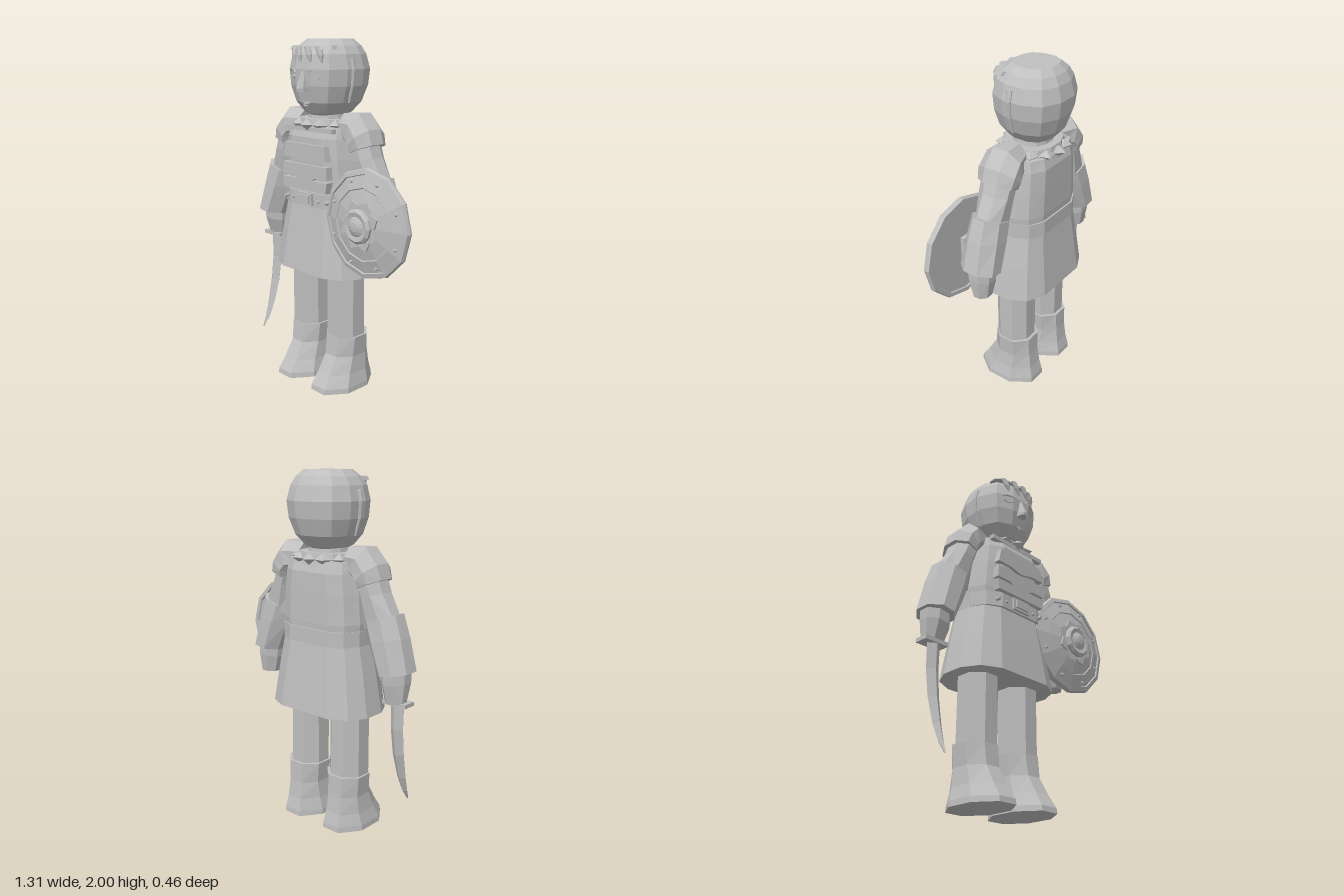
import * as THREE from 'three';

const CX = -0.0975; // body axis; the shield sits out to the figure's left
const ROUND = [[1, 0.3], [0.78, 0.78], [0.3, 1]];
const BROAD = [[1, 0.3], [0.84, 0.76], [0.52, 1]];
const OCT = [[1, 0.41], [0.41, 1]];

// Unit outline from one quarter, mirrored into all four
function outline(quarter) {
  const back = [...quarter].reverse();
  return [...quarter, ...back.map(([a, b]) => [-a, b]),
    ...quarter.map(([a, b]) => [-a, -b]), ...back.map(([a, b]) => [a, -b])];
}

// Horizontal section: height, half width, front z, back z, centre x
function section([y, hw, zf, zb, x = 0], quarter) {
  return outline(quarter).map(([a, b]) =>
    new THREE.Vector3(x + a * hw, y, (zf + zb) / 2 + b * (zf - zb) / 2));
}

// Slanted section of a limb between an outer and an inner point
function slanted([ox, oy, ix, iy, zf, zb]) {
  return outline(OCT).map(([a, b]) => new THREE.Vector3(
    (ox + ix) / 2 + a * (ix - ox) / 2, (oy + iy) / 2 + a * (iy - oy) / 2,
    (zf + zb) / 2 + b * (zf - zb) / 2));
}

// Faceted skin over a stack of sections, capped, always facing outwards
function loft(rings, mirror = 1) {
  const tris = [];
  const n = rings[0].length;
  const mid = (r) => r.reduce((s, p) => s.add(p), new THREE.Vector3()).divideScalar(n);
  const first = mid(rings[0]), last = mid(rings[rings.length - 1]);
  for (let i = 0; i < n; i++) {
    const j = (i + 1) % n;
    for (let k = 0; k < rings.length - 1; k++) {
      const a = rings[k], b = rings[k + 1];
      tris.push([a[i], b[i], a[j]], [a[j], b[i], b[j]]);
    }
    tris.push([first, rings[0][i], rings[0][j]]);
    const top = rings[rings.length - 1];
    tris.push([last, top[j], top[i]]);
  }
  const pts = tris.map((t) => t.map((p) => new THREE.Vector3(p.x * mirror, p.y, p.z)));
  const volume = pts.reduce((s, [a, b, c]) =>
    s + a.clone().sub(first).dot(b.clone().sub(first).cross(c.clone().sub(first))), 0);
  const origin = new THREE.Vector3(first.x * mirror, first.y, first.z);
  const signed = pts.reduce((s, [a, b, c]) => s + a.clone().sub(origin)
    .dot(b.clone().sub(origin).cross(c.clone().sub(origin))), 0);
  const flip = (Number.isFinite(volume) && signed < 0);
  const geo = new THREE.BufferGeometry().setFromPoints(
    pts.flatMap(([a, b, c]) => (flip ? [a, c, b] : [a, b, c])));
  geo.computeVertexNormals();
  return geo;
}

function faceted(geo) {
  const g = geo.index ? geo.toNonIndexed() : geo;
  g.computeVertexNormals();
  return g;
}

function plate(points, depth) {
  const shape = new THREE.Shape(points.map(([x, y]) => new THREE.Vector2(x, y)));
  return new THREE.ExtrudeGeometry(shape, { depth, bevelEnabled: false });
}

export function createModel() {
  const stone = new THREE.MeshStandardMaterial({ color: 0xbfbfbf });
  stone.name = 'grey stone';
  const model = new THREE.Group();
  model.name = 'warrior';
  const body = new THREE.Group();
  body.name = 'body';
  body.position.x = CX;
  model.add(body);

  const add = (name, geo, x = 0, y = 0, z = 0, parent = body) => {
    const mesh = new THREE.Mesh(geo, stone);
    mesh.name = name;
    mesh.position.set(x, y, z);
    parent.add(mesh);
    return mesh;
  };
  const stack = (name, rows, quarter) =>
    add(name, loft(rows.map((r) => section(r, quarter))));

  // Head, neck and clothing
  stack('head', [[1.575, 0.07, 0.06, -0.09], [1.6, 0.115, 0.11, -0.135], [1.66, 0.165, 0.152, -0.185],
    [1.75, 0.198, 0.173, -0.215], [1.84, 0.207, 0.178, -0.225], [1.92, 0.187, 0.163, -0.205],
    [1.965, 0.16, 0.13, -0.18], [2, 0.118, 0.09, -0.145]], ROUND);
  stack('neck', [[1.48, 0.12, 0.1, -0.13], [1.62, 0.1, 0.08, -0.11]], ROUND);
  stack('collar', [[1.5, 0.175, 0.145, -0.175], [1.57, 0.16, 0.13, -0.16]], ROUND);
  stack('tunic', [[1.05, 0.25, 0.14, -0.175], [1.2, 0.262, 0.155, -0.185], [1.36, 0.25, 0.16, -0.185],
    [1.47, 0.235, 0.158, -0.183], [1.53, 0.225, 0.138, -0.165]], BROAD);
  stack('belt', [[1.08, 0.262, 0.165, -0.192], [1.165, 0.262, 0.165, -0.192]], BROAD);
  stack('skirt', [[0.695, 0.33, 0.2, -0.228], [0.9, 0.297, 0.175, -0.205], [1.1, 0.258, 0.148, -0.183]], BROAD);

  // Collar beads
  for (let i = 0; i < 12; i++) {
    const a = (i * Math.PI) / 6;
    const bead = add('collarBead', new THREE.OctahedronGeometry(1),
      Math.sin(a) * 0.165, 1.54, -0.015 + Math.cos(a) * 0.165);
    bead.scale.set(0.047, 0.032, 0.045);
    bead.rotation.y = a;
  }

  // Chest plates, each with a pointed lower edge
  for (const [top, bottom, wt, wb, tip] of [
    [1.435, 1.35, 0.16, 0.18, 0.02], [1.32, 1.25, 0.18, 0.185, 0.045], [1.235, 1.175, 0.185, 0.175, 0]]) {
    add('chestPlate', plate([[-wb, bottom], [-0.09, bottom], [0, bottom - tip], [0.09, bottom],
      [wb, bottom], [wt, top], [-wt, top]], 0.05), 0, 0, 0.127);
  }
  add('neckTrim', new THREE.BoxGeometry(0.4, 0.025, 0.03), 0, 1.515, 0.136);
  add('buckle', new THREE.BoxGeometry(0.125, 0.07, 0.04), 0, 1.125, 0.16);
  add('bucklePlate', new THREE.BoxGeometry(0.095, 0.045, 0.012), 0, 1.125, 0.184);
  for (const x of [-0.165, -0.105, 0.105, 0.165]) {
    const stud = add('beltStud', faceted(new THREE.CylinderGeometry(0.009, 0.012, 0.03, 8)), x, 1.12, 0.16);
    stud.rotation.x = Math.PI / 2;
  }

  // Face
  add('nose', loft([[1.72, 0.026, 0.215, 0.15], [1.74, 0.025, 0.218, 0.15], [1.83, 0.01, 0.182, 0.15]]
    .map((r) => section(r, OCT))));
  add('upperLip', plate([[-0.028, 1.657], [0, 1.649], [0.028, 1.657], [0.012, 1.666], [-0.012, 1.666]], 0.009), 0, 0, 0.151);
  add('lowerLip', plate([[-0.022, 1.647], [0, 1.637], [0.022, 1.647], [0, 1.645]], 0.009), 0, 0, 0.147);
  for (const s of [-1, 1]) {
    const eye = add('eye', plate([[-0.03, 0], [-0.01, -0.011], [0.012, -0.01], [0.03, 0],
      [0.012, 0.011], [-0.01, 0.012]], 0.007), s * 0.09, 1.8, 0.164);
    const brow = add('brow', plate([[-0.04, 0], [-0.02, 0.01], [0.02, 0.01], [0.04, 0],
      [0.02, 0.018], [-0.02, 0.018]], 0.009), s * 0.09, 1.825, 0.165);
    eye.rotation.y = brow.rotation.y = s * 0.36;
    add('sideburn', loft([section([1.66, 0.006, 0.003, -0.012, s * 0.175], OCT),
      section([1.75, 0.012, 0.006, -0.016, s * 0.198], OCT),
      section([1.84, 0.012, 0.009, -0.02, s * 0.207], OCT),
      section([1.9, 0.012, 0.014, -0.02, s * 0.194], OCT)]));
  }

  // Fringe: a bent band with hanging locks
  stack('hairBand', [[1.945, 0.165, 0.168, 0.03], [1.965, 0.155, 0.156, 0.02]], ROUND);
  for (const x of [-0.1, -0.035, 0.04, 0.105]) {
    const lock = add('hairLock', loft([section([-0.075, 0.003, 0.006, -0.002, 0.018], OCT),
      section([-0.035, 0.016, 0.012, -0.012, 0.006], OCT),
      section([0.01, 0.02, 0.006, -0.02, -0.012], OCT)]), x, 1.95, 0.172 - Math.max(0, Math.abs(x) - 0.05) * 0.4);
    lock.rotation.y = x * 3;
  }

  // Legs, boots and arms, mirrored
  for (const s of [-1, 1]) {
    const side = s < 0 ? 'right' : 'left';
    const x = s * 0.15;
    stack(side + 'Leg', [[0.25, 0.106, 0.1, -0.115, x], [0.75, 0.104, 0.1, -0.115, x]], OCT);
    stack(side + 'Boot', [[0, 0.138, 0.222, -0.168, x], [0.03, 0.136, 0.218, -0.166, x],
      [0.1, 0.119, 0.172, -0.15, x], [0.2, 0.108, 0.116, -0.138, x], [0.32, 0.118, 0.102, -0.133, x]], OCT);

    const limb = (name, rows) => add(side + name, loft(rows.map(slanted), -s));
    // Arm rows: outer point, inner point, front z, back z, on the right side
    limb('ShoulderPad', [[-0.16, 1.605, -0.18, 1.44, 0.07, -0.09], [-0.285, 1.612, -0.23, 1.42, 0.1, -0.125],
      [-0.36, 1.527, -0.235, 1.41, 0.108, -0.13], [-0.385, 1.45, -0.24, 1.39, 0.1, -0.12]]);
    limb('UpperArm', [[-0.345, 1.5, -0.22, 1.43, 0.09, -0.105], [-0.39, 1.38, -0.25, 1.35, 0.088, -0.1],
      [-0.47, 1.24, -0.27, 1.18, 0.07, -0.09]]);
    limb('Forearm', [[-0.475, 1.28, -0.272, 1.215, 0.085, -0.1], [-0.515, 1.16, -0.305, 1.12, 0.095, -0.108],
      [-0.558, 0.98, -0.378, 0.95, 0.107, -0.113]]);
    limb('Hand', [[-0.54, 1, -0.385, 0.98, 0.07, -0.085], [-0.54, 0.92, -0.39, 0.9, 0.065, -0.083],
      [-0.527, 0.805, -0.415, 0.805, 0.03, -0.065]]);
  }

  // Curved sword in the right hand
  const sword = new THREE.Group();
  sword.name = 'sword';
  sword.position.x = -0.57;
  model.add(sword);
  add('guard', new THREE.BoxGeometry(0.15, 0.022, 0.08), -0.005, 0.803, -0.005, sword);
  add('grip', faceted(new THREE.CylinderGeometry(0.025, 0.025, 0.14, 8)), 0, 0.85, 0, sword);
  const diamond = [[1, 0.02], [0.02, 1]];
  add('blade', loft([[0.8, 0.042, 0.03, -0.03], [0.65, 0.04, 0.03, -0.03], [0.5, 0.037, 0.047, -0.008],
    [0.35, 0.028, 0.08, 0.035], [0.26, 0.018, 0.108, 0.075], [0.2, 0.003, 0.13, 0.118]]
    .map((r) => section(r, diamond))), 0, 0, 0, sword);

  // Round shield on the left arm
  const shield = new THREE.Group();
  shield.name = 'shield';
  shield.position.set(0.35, 1.05, 0);
  model.add(shield);
  const turned = (name, pts) => add(name, faceted(new THREE.LatheGeometry(
    pts.map(([r, z]) => new THREE.Vector2(r, z)), 12).rotateX(Math.PI / 2)), 0, 0, 0, shield);
  turned('shieldDisc', [[0, 0.122], [0.27, 0.122], [0.275, 0.114], [0.298, 0.114], [0.303, 0.128], [0.298, 0.148],
    [0.272, 0.155], [0.268, 0.147], [0.2, 0.167], [0.195, 0.162], [0.12, 0.18], [0, 0.185]]);
  turned('shieldBoss', [[0, 0.17], [0.095, 0.17], [0.095, 0.21], [0.08, 0.222], [0.055, 0.216],
    [0.045, 0.222], [0.025, 0.23], [0, 0.232]]);
  for (let i = 0; i < 8; i++) {
    const a = ((i + 0.5) * Math.PI) / 4;
    const petal = add('shieldPetal', plate([[0.06, 0], [0.1, -0.045], [0.14, 0], [0.1, 0.045]], 0.009), 0, 0, 0.186, shield);
    petal.rotation.z = a;
    const rivet = add('shieldRivet', faceted(new THREE.CylinderGeometry(0.008, 0.01, 0.02, 8)),
      Math.cos(a) * 0.24, Math.sin(a) * 0.24, 0.157, shield);
    rivet.rotation.x = Math.PI / 2;
  }
  add('shieldHandle', new THREE.BoxGeometry(0.06, 0.14, 0.03), 0, 0, 0.11, shield);

  return model;
}
